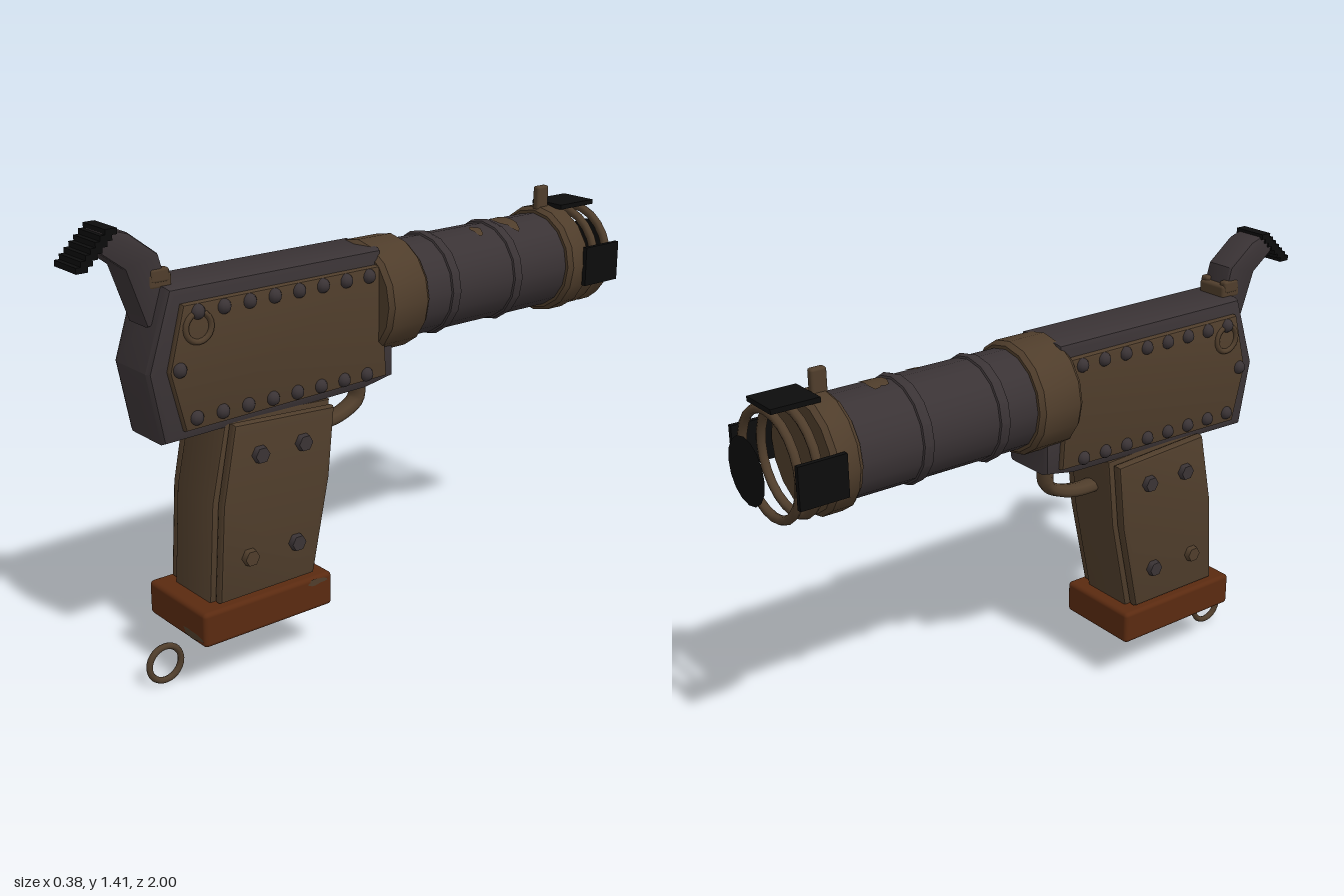
import * as THREE from 'three';
import { toCreasedNormals } from 'three/addons/utils/BufferGeometryUtils.js';
import { RoundedBoxGeometry } from 'three/addons/geometries/RoundedBoxGeometry.js';

const paint = (name, color) => {
  const m = new THREE.MeshStandardMaterial({ color });
  m.name = name;
  return m;
};

export function createModel() {
  const brass = paint('aged brass', 0x4f3d2b);
  const steel = paint('dark steel', 0x3a3335);
  const rust = paint('rust', 0x5a2a10);
  const black = paint('black', 0x0c0c0c);
  black.side = THREE.DoubleSide;

  const model = new THREE.Group();
  model.name = 'pistol';
  const axisY = 1.075; // barrel height

  const add = (name, geo, mat, x = 0, y = 0, z = 0) => {
    const m = new THREE.Mesh(geo, mat);
    m.name = name;
    m.position.set(x, y, z);
    model.add(m);
    return m;
  };
  const box = (name, w, h, d, mat, x, y, z, r = 0) =>
    add(name, r ? new RoundedBoxGeometry(w, h, d, 2, r) : new THREE.BoxGeometry(w, h, d), mat, x, y, z);

  // Extrudes a [z, y] side profile across x, centred on x = 0
  const slab = (pts, width, bevel) => {
    const shape = new THREE.Shape(pts.map(([z, y]) => new THREE.Vector2(z, y)));
    const geo = new THREE.ExtrudeGeometry(shape, {
      depth: width - 2 * bevel, bevelThickness: bevel, bevelSize: bevel, bevelOffset: -bevel, bevelSegments: 2,
    });
    geo.translate(0, 0, bevel - width / 2);
    return toCreasedNormals(geo.rotateY(-Math.PI / 2), 0.6);
  };

  // Turns a [radius, z] profile around the barrel axis, listed from back to front
  const turned = (name, pts, mat) => {
    const geo = new THREE.LatheGeometry(pts.map(([r, z]) => new THREE.Vector2(r, -z)), 16);
    add(name, toCreasedNormals(geo.rotateX(-Math.PI / 2), 0.6), mat, 0, axisY, 0);
  };

  // Uneven worn patch, flat in XY
  const blob = (w, h, seed) => {
    const geo = new THREE.RingGeometry(0, 1, 18, 4);
    const p = geo.attributes.position;
    for (let i = 0; i < p.count; i++) {
      const a = Math.atan2(p.getY(i), p.getX(i));
      const k = 1 + 0.16 * Math.sin(3 * a + seed) + 0.1 * Math.sin(5 * a + 2 * seed);
      p.setXY(i, p.getX(i) * k * w, p.getY(i) * k * h);
    }
    return geo;
  };

  // Receiver
  add('receiver', slab([[0.745, 1.24], [0.82, 1.01], [0.78, 0.795], [0.06, 0.81], [-0.05, 0.83],
    [-0.05, 0.95], [0, 0.98], [0, 1.24]], 0.196, 0.022), steel);

  // Barrel
  turned('barrel', [[0, 0], [0.155, 0], [0.155, -0.76], [0, -0.76]], steel);
  turned('barrelCollar', [[0, 0.03], [0.165, 0.03], [0.177, 0.015], [0.177, -0.115], [0.165, -0.13], [0, -0.13]], brass);
  for (const z of [-0.25, -0.515]) {
    turned('barrelBand', [[0.15, z + 0.02], [0.161, z + 0.016], [0.166, z], [0.161, z - 0.016], [0.15, z - 0.02]], steel);
  }
  turned('muzzleCap', [[0, -0.735], [0.165, -0.735], [0.177, -0.75], [0.177, -0.815], [0.165, -0.83], [0, -0.83]], brass);
  for (const z of [-0.867, -0.926]) {
    add('muzzleRing', new THREE.TorusGeometry(0.157, 0.014, 8, 24), brass, 0, axisY, z);
  }
  add('bore', new THREE.CircleGeometry(0.1, 16), black, 0, axisY, -0.998).rotation.y = Math.PI;

  // Muzzle plates
  box('topMuzzlePlate', 0.13, 0.015, 0.152, black, 0, 1.251, -0.871);
  for (const s of [-1, 1]) box('sideMuzzlePlate', 0.015, 0.128, 0.152, black, s * 0.181, axisY - 0.002, -0.871);

  // Worn patches wrapped over the barrel
  for (const [x, z, w, h, seed] of [[0.02, -0.58, 0.06, 0.034, 1], [0.05, -0.43, 0.028, 0.018, 2.4]]) {
    const geo = blob(w, h, seed);
    const p = geo.attributes.position;
    for (let i = 0; i < p.count; i++) {
      const a = (p.getX(i) + x) / 0.157;
      p.setXYZ(i, 0.157 * Math.sin(a), 0.157 * Math.cos(a), z - p.getY(i));
    }
    geo.computeVertexNormals();
    add('barrelPatch', geo, brass, 0, axisY, 0);
  }

  // Sights
  box('frontSight', 0.026, 0.1, 0.05, brass, 0, 1.268, -0.765, 0.008);
  box('rearSightBase', 0.11, 0.045, 0.075, brass, 0, 1.255, 0.745, 0.01);
  for (const s of [-1, 1]) box('rearSightEar', 0.03, 0.04, 0.06, brass, s * 0.042, 1.27, 0.745, 0.008);

  // Hammer with a stepped thumb pad
  add('hammer', slab([[0.79, 1.13], [0.85, 1.3], [0.935, 1.365], [0.9, 1.42], [0.835, 1.4],
    [0.745, 1.33], [0.72, 1.24], [0.74, 1.13]], 0.106, 0.01), steel);
  for (let i = 0; i < 7; i++) {
    box('thumbStep', 0.116, 0.017, 0.036, black, 0, 1.412 - i * 0.0148, 0.89 + i * 0.0153);
  }

  // Grip
  const gripOutline = [[0.575, 0.83], [0.63, 0.58], [0.65, 0.27], [0.285, 0.27], [0.222, 0.58], [0.2, 0.81]];
  add('gripCore', slab(gripOutline, 0.19, 0.008), brass);
  const panel = slab([[0.57, 0.82], [0.618, 0.58], [0.638, 0.28], [0.297, 0.28], [0.234, 0.58], [0.212, 0.8]], 0.038, 0.012);
  const plate = slab([[0.715, 1.195], [0.765, 1.01], [0.72, 0.83], [-0.005, 0.845], [0.02, 1.195]], 0.04, 0.01);
  const rivet = new THREE.SphereGeometry(0.022, 10, 8);
  const bolt = new THREE.CylinderGeometry(0.025, 0.029, 0.026, 6).rotateZ(Math.PI / 2);

  // Both sides
  for (const s of [-1, 1]) {
    add('gripPanel', panel, brass, s * 0.117, 0, 0);
    add('sidePlate', plate, brass, s * 0.098, 0, 0);
    for (let i = 0; i < 8; i++) {
      add('rivet', rivet, steel, s * 0.116, 1.17, 0.67 - i * 0.086);
      add('rivet', rivet, steel, s * 0.116, 0.867, 0.686 - i * 0.087);
    }
    add('rivet', rivet, steel, s * 0.116, 1.015, 0.735);
    add('plateRing', new THREE.TorusGeometry(0.042, 0.009, 8, 20).rotateY(Math.PI / 2), brass, s * 0.118, 1.126, 0.67);
    for (const [z, y, mat] of [[0.49, 0.717, steel], [0.335, 0.717, steel], [0.535, 0.405, brass], [0.365, 0.405, steel]]) {
      const m = add('gripBolt', bolt, mat, s * 0.142, y, z);
      if (s > 0) m.rotation.y = Math.PI;
    }
  }

  // Trigger guard
  const guard = new THREE.CatmullRomCurve3([[0.23, 0.7], [0.15, 0.7], [0.08, 0.715], [0.025, 0.75], [0.022, 0.83]]
    .map(([z, y]) => new THREE.Vector3(0, y, z)));
  add('triggerGuard', new THREE.TubeGeometry(guard, 20, 0.021, 8), brass).scale.x = 1.6;

  // Butt pad with worn patches
  box('buttPad', 0.304, 0.11, 0.468, rust, 0, 0.219, 0.474, 0.014);
  const wear = (w, h, seed, x, y, z, rx, ry) => add('padPatch', blob(w, h, seed), brass, x, y, z).rotation.set(rx, ry, 0);
  wear(0.05, 0.012, 1, 0.085, 0.186, 0.7095, 0, 0);
  wear(0.035, 0.01, 2, 0.1535, 0.258, 0.3, 0, Math.PI / 2);
  wear(0.06, 0.035, 3, 0.06, 0.1625, 0.62, Math.PI / 2, 0);
  wear(0.05, 0.04, 1.5, -0.08, 0.1625, 0.46, Math.PI / 2, 0);
  wear(0.045, 0.03, 0.4, 0.07, 0.1625, 0.33, Math.PI / 2, 0);

  // Lanyard ring
  add('lanyardRing', new THREE.TorusGeometry(0.055, 0.01, 8, 28).rotateY(Math.PI / 2), brass, 0, 0.072, 0.755);

  return model;
}
